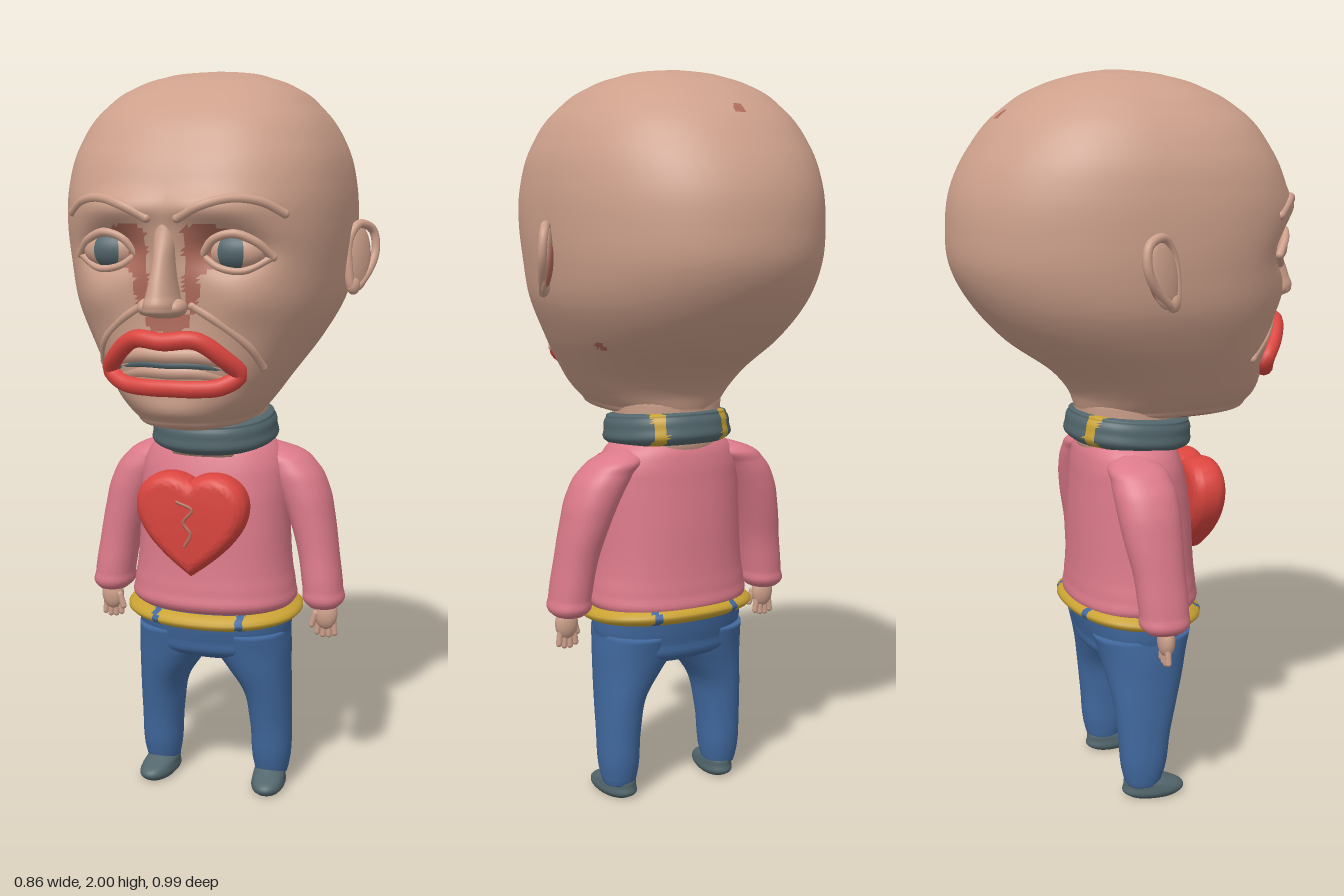
import * as THREE from 'three';
import { toCreasedNormals } from 'three/addons/utils/BufferGeometryUtils.js';

const material = (name, color) => new THREE.MeshStandardMaterial({ name, color });
const skin = material('skin', 0xcda08b);
const blush = material('blush', 0xb06c5c);
const pink = material('sweaterPink', 0xdc7a8a);
const red = material('red', 0xdb453f);
const denim = material('denim', 0x41699f);
const slate = material('slate', 0x52666c);
const gold = material('gold', 0xc9a233);

// Smooth interpolation of rows [y, halfWidth, zFront, zBack, centreX] at height y
function rowAt(rows, y) {
  let i = 0;
  while (i < rows.length - 2 && y > rows[i + 1][0]) i++;
  const a = rows[i], b = rows[i + 1], h = b[0] - a[0], t = (y - a[0]) / h;
  const slope = (p, q, k) => ((q[k] ?? 0) - (p[k] ?? 0)) / (q[0] - p[0]);
  const tangent = (j, k) => {
    if (j === 0) return slope(rows[0], rows[1], k);
    if (j === rows.length - 1) return slope(rows[j - 1], rows[j], k);
    const h0 = rows[j][0] - rows[j - 1][0], h1 = rows[j + 1][0] - rows[j][0];
    return (slope(rows[j - 1], rows[j], k) * h1 + slope(rows[j], rows[j + 1], k) * h0) / (h0 + h1);
  };
  return [1, 2, 3, 4].map((k) => {
    const p = a[k] ?? 0, q = b[k] ?? 0, t2 = t * t, t3 = t2 * t;
    return (2 * t3 - 3 * t2 + 1) * p + (t3 - 2 * t2 + t) * h * tangent(i, k)
      + (3 * t2 - 2 * t3) * q + (t3 - t2) * h * tangent(i + 1, k);
  });
}

// Closed body through rounded cross-sections; pick() chooses a material for each face
function loft(name, mats, rows, { sides = 40, steps = 5, front = 2.2, back = 2.2, bend, pick } = {}) {
  const pos = [], rings = [];
  for (let i = 0; i < rows.length - 1; i++)
    for (let k = 0; k < steps; k++) rings.push(rows[i][0] + (rows[i + 1][0] - rows[i][0]) * k / steps);
  rings.push(rows[rows.length - 1][0]);
  for (const y of rings) {
    const [w, zf, zb, cx] = rowAt(rows, y);
    for (let j = 0; j < sides; j++) {
      const a = j / sides * Math.PI * 2, c = Math.cos(a), s = Math.sin(a), n = s > 0 ? front : back;
      const r = (Math.abs(c) ** n + Math.abs(s) ** n) ** (-1 / n);
      const x = cx + w * r * c, z = (zf + zb) / 2 + (zf - zb) / 2 * r * s;
      pos.push(x, y, bend ? z + bend(x, y, z) : z);
    }
  }
  for (const row of [rows[0], rows[rows.length - 1]]) pos.push(row[4] ?? 0, row[0], (row[2] + row[3]) / 2);
  const lists = [[], []], last = (rings.length - 1) * sides, low = rings.length * sides;
  const mid = (t, k) => (pos[t[0] * 3 + k] + pos[t[1] * 3 + k] + pos[t[2] * 3 + k]) / 3;
  const add = (...t) => lists[pick && pick(mid(t, 0), mid(t, 1), mid(t, 2)) ? 1 : 0].push(...t);
  for (let j = 0; j < sides; j++) {
    const k = (j + 1) % sides;
    add(low, j, k);
    add(low + 1, last + k, last + j);
    for (let b = 0; b < last; b += sides) {
      add(b + j, b + sides + j, b + k);
      add(b + k, b + sides + j, b + sides + k);
    }
  }
  const g = new THREE.BufferGeometry();
  g.setAttribute('position', new THREE.Float32BufferAttribute(pos, 3));
  g.setIndex([...lists[0], ...lists[1]]);
  if (pick) {
    g.addGroup(0, lists[0].length, 0);
    g.addGroup(lists[0].length, lists[1].length, 1);
  }
  g.computeVertexNormals();
  return named(name, g, mats);
}

function named(name, geometry, mat, position = [0, 0, 0], scale = [1, 1, 1]) {
  const m = new THREE.Mesh(geometry, mat);
  m.name = name;
  m.position.set(...position);
  m.scale.set(...scale);
  return m;
}
const ball = (name, mat, position, radii) => named(name, new THREE.SphereGeometry(1, 28, 20), mat, position, radii);

// Rounded strand through points
function strand(name, mat, points, r, closed = false) {
  const v = points.map((p) => new THREE.Vector3(...p)), g = new THREE.Group();
  g.name = name;
  g.add(named(name + 'Tube', new THREE.TubeGeometry(new THREE.CatmullRomCurve3(v, closed), 64, r, 12, closed), mat));
  if (!closed) for (const p of [points[0], points[points.length - 1]]) g.add(ball(name + 'End', mat, p, [r, r, r]));
  return g;
}

const headRows = [[1.075, .09, .27, -.12], [1.085, .13, .31, -.14], [1.11, .16, .335, -.15], [1.15, .195, .36, -.165],
  [1.2, .23, .37, -.205], [1.3, .295, .38, -.34], [1.4, .345, .39, -.43], [1.5, .365, .405, -.482], [1.6, .372, .42, -.49],
  [1.7, .368, .41, -.475], [1.8, .345, .365, -.425], [1.9, .282, .28, -.335], [1.95, .222, .195, -.255],
  [1.98, .15, .11, -.17], [1.995, .08, .03, -.1], [2, .02, -.02, -.06]];
// Brow, eye socket, cheek, muzzle and chin: [x, y, width, height, push]
const bumps = [[.1, 1.65, .12, .035, .025], [.16, 1.545, .09, .05, -.05], [.2, 1.42, .08, .06, .015],
  [0, 1.28, .14, .08, .012], [0, 1.13, .09, .035, .015]];
const faceBend = (x, y, z) => z < .12 ? 0 : Math.min(1, (z - .12) / .12) * bumps.reduce((sum, [bx, by, w, h, d]) =>
  sum + d * Math.exp(-(((Math.abs(x) - bx) / w) ** 2) - ((y - by) / h) ** 2), 0);
function faceZ(x, y) {
  const [w, zf, zb] = rowAt(headRows, y);
  const z = (zf + zb) / 2 + (zf - zb) / 2 * (1 - Math.min(1, Math.abs(x) / w) ** 2.6) ** (1 / 2.6);
  return z + faceBend(x, y, z);
}
const onFace = (pts, s, lift) => pts.map(([x, y]) => [s * x, y, faceZ(x, y) + lift]);

// Reddened skin: [x, y, width, height] on the face, then single spots
const flushed = [[.085, 1.545, .038, .06], [.1, 1.59, .055, .02], [.065, 1.46, .02, .07], [0, 1.37, .06, .03]];
const isFlushed = (x, y, z) => (z > .2 && flushed.some(([fx, fy, w, h]) => Math.hypot((Math.abs(x) - fx) / w, (y - fy) / h) < 1))
  || (y > 1.7 && Math.hypot(x + .008, z + .35) < .016) || (x > .1 && Math.hypot(y - 1.29, z + .12) < .014)
  || (y < 1.09 && z > .1 && z < .2);

function makeHead() {
  const head = new THREE.Group();
  head.name = 'head';
  head.add(loft('skull', [skin, blush], headRows, { sides: 180, steps: 9, front: 2.6, back: 2.1, bend: faceBend, pick: isFlushed }));
  head.add(loft('nose', skin, [[1.382, .03, .44, .34], [1.39, .042, .475, .34], [1.41, .045, .494, .34], [1.44, .038, .486, .34],
    [1.52, .028, .455, .34], [1.59, .03, .428, .34], [1.65, .02, .415, .34]], { back: 2 }));
  for (const s of [1, -1]) {
    head.add(ball('nostril', skin, [s * .04, 1.408, .425], [.023, .022, .036]));
    head.add(ball('eyeball', skin, [s * .163, 1.543, .335], [.078, .05, .05]));
    head.add(named('iris', new THREE.SphereGeometry(1, 14, 14, Math.PI / 2 - .43, .86, Math.PI / 2 - .85, 1.7), slate,
      [s * .163, 1.543, .336], [.08, .052, .053]));
    head.add(strand('upperLid', skin, [[s * .085, 1.535, .372], [s * .12, 1.575, .384], [s * .17, 1.588, .382], [s * .22, 1.568, .362], [s * .255, 1.53, .33]], .011));
    head.add(strand('lowerLid', skin, [[s * .085, 1.535, .37], [s * .13, 1.505, .375], [s * .19, 1.497, .365], [s * .255, 1.53, .33]], .009));
    head.add(strand('brow', skin, onFace([[.04, 1.625], [.1, 1.655], [.17, 1.672], [.23, 1.665], [.28, 1.635]], s, -.004), .012));
    head.add(strand('cheekFold', skin, onFace([[.065, 1.41], [.12, 1.375], [.19, 1.31], [.215, 1.25]], s, -.007), .012));
    // Ear, flaring out toward the back
    const ear = new THREE.Group();
    ear.name = 'ear';
    ear.position.set(s * .385, 1.51, -.05);
    ear.rotation.set(-.2, -.45 * s, 0);
    ear.add(ball('earShell', skin, [0, 0, 0], [.016, .088, .05]));
    ear.add(ball('earBack', blush, [-s * .006, -.005, -.018], [.014, .06, .03]));
    ear.add(ball('earLobe', skin, [0, -.075, .015], [.016, .025, .022]));
    ear.add(strand('earRim', skin, [[0, -.085, .018], [s * .005, -.035, -.035], [s * .01, .03, -.06], [s * .01, .082, -.042],
      [s * .006, .088, .015], [0, .04, .045], [0, -.03, .04]], .012, true));
    head.add(ear);
  }
  // Open mouth with two rows of teeth
  const half = [[.08, 1.326, .408], [.14, 1.282, .375], [.172, 1.236, .338], [.13, 1.207, .355], [.06, 1.2, .37]];
  const lips = [[0, 1.322, .42], ...half, [0, 1.2, .373], ...half.map(([x, y, z]) => [-x, y, z]).reverse()];
  head.add(strand('lips', red, lips, .023, true));
  const arc = (y, z) => [[-.145, y - .015, z - .045], [-.075, y, z - .01], [0, y, z], [.075, y, z - .01], [.145, y - .015, z - .045]];
  head.add(strand('upperTeeth', skin, arc(1.284, .385), .021));
  head.add(strand('lowerTeeth', skin, arc(1.24, .372), .019));
  head.add(strand('mouthGap', slate, arc(1.261, .384), .011));
  return head;
}

function makeHand(s) {
  const hand = new THREE.Group();
  hand.name = 'hand';
  hand.position.set(s * .32, .525, -.01);
  hand.add(ball('palm', skin, [0, 0, 0], [.033, .045, .023]));
  for (let i = 0; i < 4; i++) {
    const finger = named('finger', new THREE.CapsuleGeometry(.0085, .04, 4, 10), skin, [(i - 1.5) * .015, -.045 + Math.abs(i - 1.4) * .006, -.003]);
    finger.rotation.z = (i - 1.5) * .08;
    hand.add(finger);
  }
  const thumb = named('thumb', new THREE.CapsuleGeometry(.009, .035, 4, 10), skin, [-s * .032, -.015, .012]);
  thumb.rotation.z = -s * .3;
  hand.add(thumb);
  return hand;
}

function makeHeart() {
  const h = new THREE.Shape();
  h.moveTo(0, -.092);
  h.bezierCurveTo(.045, -.06, .12, 0, .12, .06);
  h.bezierCurveTo(.12, .12, .03, .135, 0, .078);
  h.bezierCurveTo(-.03, .135, -.12, .12, -.12, .06);
  h.bezierCurveTo(-.12, 0, -.045, -.06, 0, -.092);
  const g = new THREE.ExtrudeGeometry(h, { depth: .02, bevelThickness: .04, bevelSize: .035, bevelSegments: 8, curveSegments: 20 });
  const heart = new THREE.Group();
  heart.name = 'heart';
  heart.add(named('heartBody', toCreasedNormals(g, 1), red, [0, .8, .185]));
  heart.add(strand('heartCrack', blush, [[-.03, .875, .243], [.012, .855, .243], [-.012, .82, .243], [.008, .79, .243], [-.008, .755, .243]], .005));
  return heart;
}

export function createModel() {
  const model = new THREE.Group();
  model.name = 'bigHeadedMan';
  model.add(makeHead(), makeHeart());
  model.add(loft('neck', skin, [[.98, .14, .14, -.14], [1.15, .145, .14, -.15]]));
  model.add(loft('sweater', pink, [[.542, .21, .16, -.155], [.555, .227, .177, -.17], [.6, .23, .18, -.172], [.65, .222, .175, -.168],
    [.8, .212, .165, -.162], [.9, .208, .15, -.155], [.96, .198, .135, -.15], [1, .172, .12, -.14], [1.03, .13, .1, -.12]], { sides: 64 }));
  // Striped collar, higher at the back
  const collar = loft('collar', [slate, gold], [[-.045, .145, .15, -.15], [-.036, .163, .165, -.165], [0, .17, .172, -.172],
    [.03, .163, .165, -.165], [.042, .15, .152, -.152], [.044, .14, .14, -.14]],
  { sides: 72, pick: (x, y, z) => z < 0 && Math.abs(Math.abs(x) - .1) < .016 });
  collar.position.y = 1.045;
  collar.rotation.x = .1;
  model.add(collar);
  model.add(loft('hips', denim, [[.385, .1, .06, -.07], [.41, .19, .12, -.125], [.46, .214, .145, -.145], [.55, .222, .165, -.165]], { sides: 56 }));
  // Belt with denim loops
  const belt = loft('belt', [gold, denim], [[-.024, .215, .16, -.16], [-.02, .226, .17, -.17], [.02, .228, .172, -.172], [.024, .218, .162, -.162]],
    { sides: 140, pick: (x) => Math.abs(Math.abs(x) - .12) < .01 });
  belt.position.y = .533;
  belt.rotation.x = .08;
  model.add(belt);
  for (const s of [1, -1]) {
    const side = (rows) => rows.map(([y, w, f, b, x]) => [y, w, f, b, x * s]);
    model.add(loft('sleeve', pink, side([[.55, .04, .04, -.06, .315], [.562, .053, .052, -.075, .314], [.6, .055, .055, -.08, .31],
      [.7, .056, .05, -.09, .295], [.8, .063, .05, -.11, .272], [.88, .071, .05, -.12, .245], [.94, .072, .042, -.12, .21],
      [.98, .06, .02, -.11, .17], [1, .02, -.02, -.07, .15]])));
    model.add(makeHand(s));
    model.add(loft('leg', denim, side([[.04, .044, .03, -.065, .165], [.055, .048, .037, -.07, .165], [.2, .058, .065, -.088, .163],
      [.3, .067, .09, -.1, .153], [.37, .09, .112, -.113, .129], [.42, .107, .125, -.125, .112], [.48, .105, .14, -.14, .11]])));
    const shoe = loft('shoe', slate, [[0, .038, .07, -.07], [.01, .046, .084, -.086], [.032, .046, .08, -.086], [.05, .042, .04, -.083], [.065, .03, .01, -.07]]);
    shoe.position.set(s * .165, 0, .016);
    shoe.rotation.y = s * .12;
    model.add(shoe);
  }
  return model;
}
